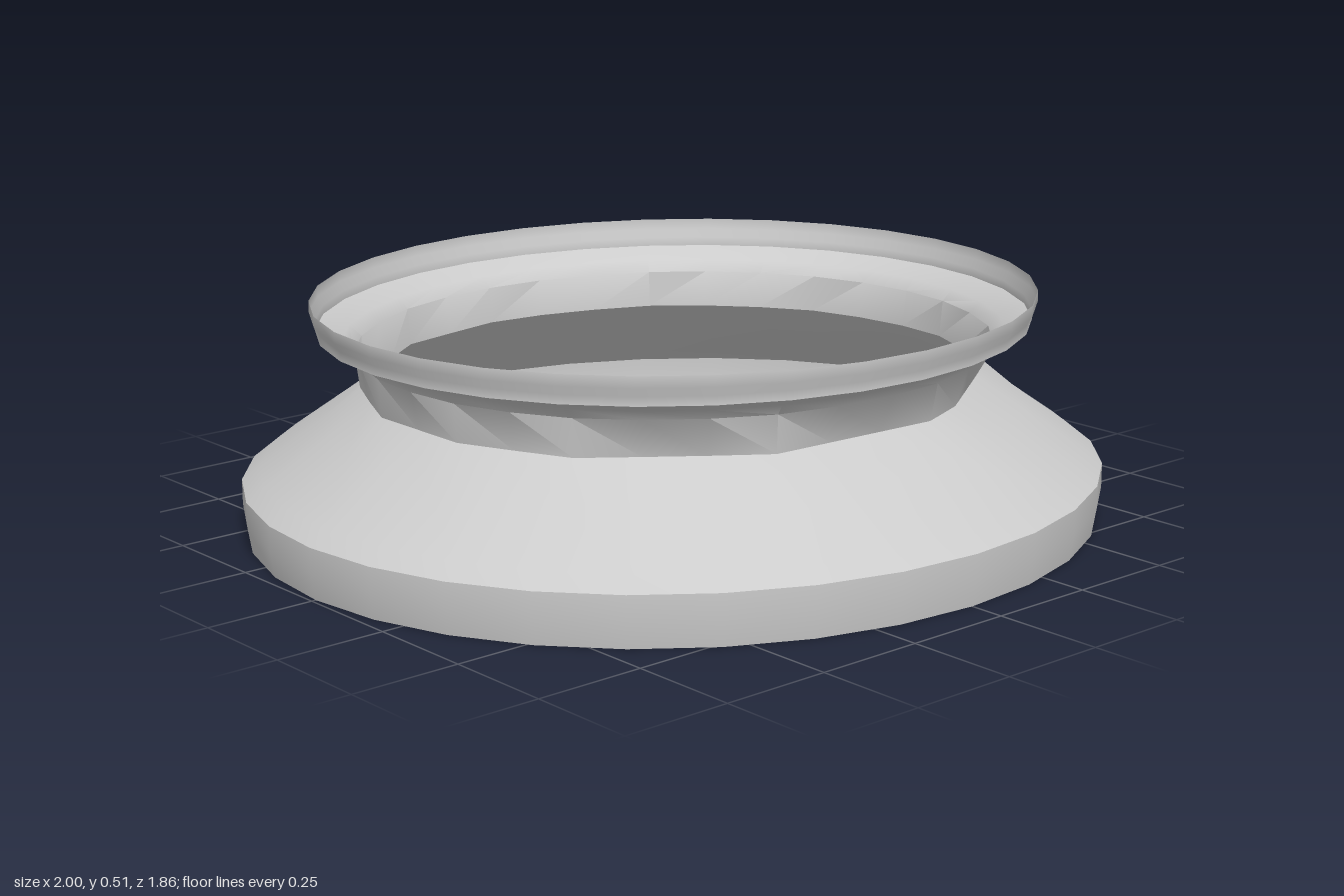
import * as THREE from 'three';
import { mergeVertices, toCreasedNormals } from 'three/addons/utils/BufferGeometryUtils.js';

const SEGMENTS = 32;
const DEPTH = 0.93; // the ring is slightly oval
// corners of the coarse, facetted throat, in degrees from +x towards +z
const THROAT = [-6, 10, 34, 75, 113, 146, 168, 192, 217, 248, 270, 286, 304, 320, 337, 354];

// Radius factor that drops a point on a circle onto the chord between throat corners
function chordFactor(angle) {
  const a = ((angle + 6) % 360 + 360) % 360 - 6;
  for (let i = 0; i < THROAT.length - 1; i++) {
    const from = THROAT[i], to = THROAT[i + 1];
    if (a < to || i === THROAT.length - 2) {
      const half = THREE.MathUtils.degToRad((to - from) / 2);
      const off = THREE.MathUtils.degToRad(a - (from + to) / 2);
      return Math.cos(half) / Math.cos(off);
    }
  }
}

export function createModel() {
  const group = new THREE.Group();
  group.name = 'flaredRing';

  // Profile from the foot, over the sloping shoulder and neck, to the lip
  const profile = [
    [0.99, 0], [1, 0.06], [1, 0.115], [0.96, 0.145], [0.82, 0.245],
    [0.735, 0.315], [0.74, 0.4], [0.765, 0.425], [0.825, 0.45], [0.825, 0.47], [0.837, 0.49], [0.837, 0.515],
  ].map(([r, y]) => new THREE.Vector2(r, y));

  let geometry = new THREE.LatheGeometry(profile, SEGMENTS);
  const pos = geometry.attributes.position;
  for (let i = 0; i < pos.count; i++) {
    const x = pos.getX(i), y = pos.getY(i), z = pos.getZ(i);
    // facets are strongest at the bottom of the neck and fade away from it
    const weight = Math.max(0, 1 - Math.abs(y - 0.315) / 0.1);
    const factor = chordFactor(THREE.MathUtils.radToDeg(Math.atan2(z, x)));
    const k = 1 + (factor - 1) * weight;
    pos.setXYZ(i, x * k, y, z * k * DEPTH);
  }

  // Weld the seam, then smooth everything but the sharp edges
  geometry.deleteAttribute('normal');
  geometry.deleteAttribute('uv');
  geometry = toCreasedNormals(mergeVertices(geometry, 1e-4), 0.7);

  const shell = new THREE.Mesh(
    geometry,
    new THREE.MeshStandardMaterial({ color: 0xcccccc, side: THREE.DoubleSide }),
  );
  shell.name = 'ringShell';
  group.add(shell);
  return group;
}
